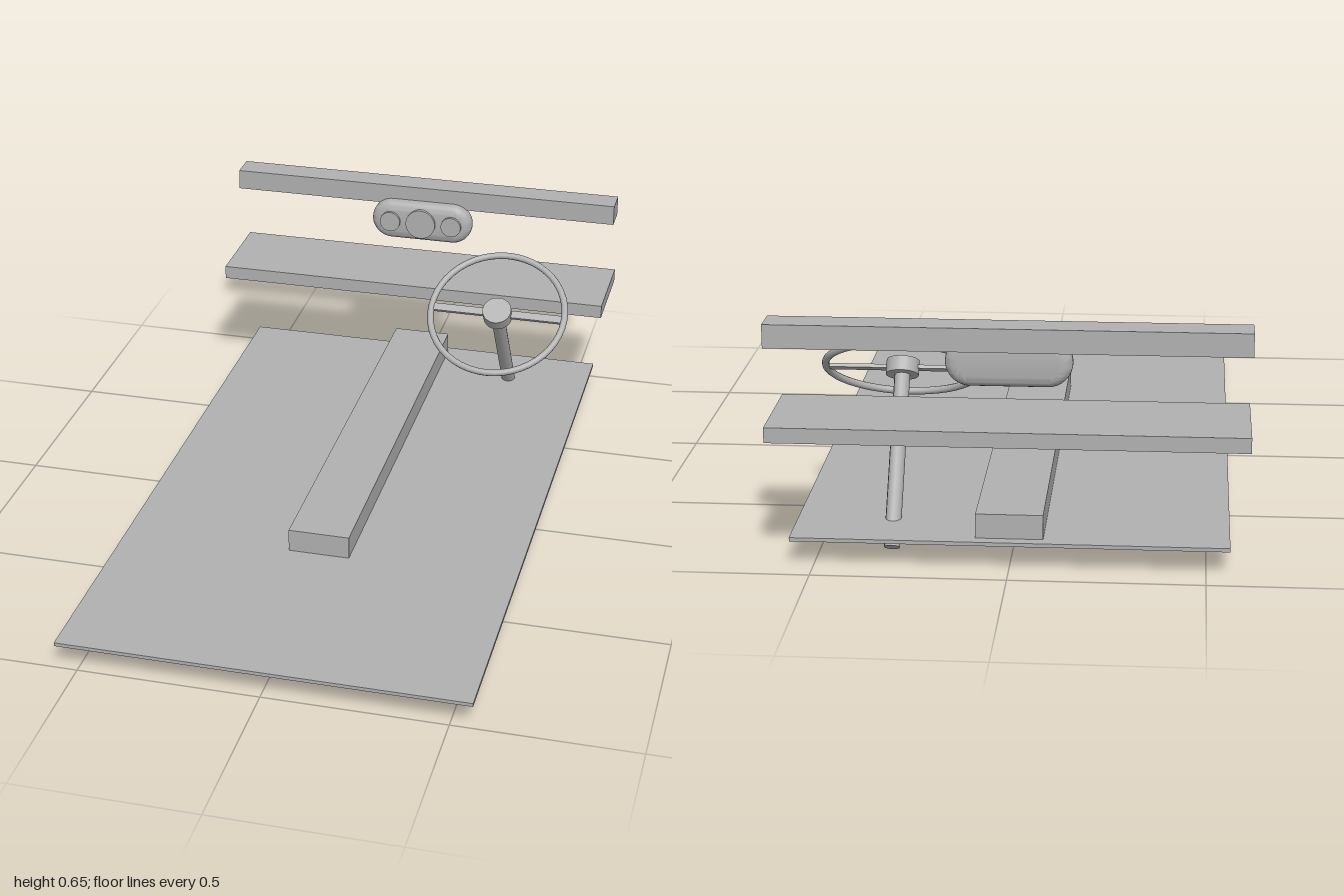
import * as THREE from 'three';
import { toCreasedNormals } from 'three/addons/utils/BufferGeometryUtils.js';

export function createModel() {
  const model = new THREE.Group();
  const grey = new THREE.MeshStandardMaterial({ color: 0xb0b0b0 });
  grey.name = 'plain grey';

  const add = (parent, name, geometry, x = 0, y = 0, z = 0) => {
    const mesh = new THREE.Mesh(geometry, grey);
    mesh.name = name;
    mesh.position.set(x, y, z);
    parent.add(mesh);
    return mesh;
  };
  // Box given by its width and its y and z limits, centred on x = 0
  const slab = (name, width, y0, y1, z0, z1) =>
    add(model, name, new THREE.BoxGeometry(width, y1 - y0, z1 - z0), 0, (y0 + y1) / 2, (z0 + z1) / 2);

  // Cabin slabs
  slab('floor', 1.12, 0.067, 0.077, -0.94, 1.0);
  slab('centreTunnel', 0.173, 0.072, 0.142, -0.91, 0.405);
  slab('dashboardShelf', 1.21, 0.35, 0.39, -1.0, -0.72);
  slab('upperRail', 1.21, 0.589, 0.65, -0.978, -0.895);

  // Instrument pod: stadium outline with rounded front and back
  const pod = new THREE.Group();
  pod.name = 'instrumentPod';
  pod.position.set(0, 0.543, 0);
  model.add(pod);
  const outline = new THREE.Shape();
  outline.absarc(0.097, 0, 0.033, -Math.PI / 2, Math.PI / 2, false);
  outline.absarc(-0.097, 0, 0.033, Math.PI / 2, Math.PI * 1.5, false);
  const podGeometry = new THREE.ExtrudeGeometry(outline, {
    depth: 0.012, bevelThickness: 0.025, bevelSize: 0.03, bevelSegments: 6, curveSegments: 12,
  });
  add(pod, 'podHousing', toCreasedNormals(podGeometry, 0.6), 0, 0, -0.898);

  // Gauges standing slightly proud of the pod
  for (const [name, x, radius] of [['rightGauge', -0.098, 0.032], ['centreGauge', 0, 0.047], ['leftGauge', 0.098, 0.032]]) {
    const gauge = new THREE.CylinderGeometry(radius, radius, 0.03, 32).rotateX(Math.PI / 2);
    add(pod, name, gauge, x, 0, -0.867);
  }

  // Steering assembly: local y runs along the tilted column
  const steering = new THREE.Group();
  steering.name = 'steering';
  steering.position.set(0.312, 0.414, -0.543);
  steering.rotation.x = THREE.MathUtils.degToRad(35);
  model.add(steering);
  add(steering, 'wheelRim', new THREE.TorusGeometry(0.205, 0.01, 10, 48).rotateX(Math.PI / 2));
  add(steering, 'wheelSpoke', new THREE.BoxGeometry(0.4, 0.01, 0.024));
  add(steering, 'wheelHub', new THREE.CylinderGeometry(0.044, 0.044, 0.04, 24));
  add(steering, 'steeringColumn', new THREE.CylinderGeometry(0.021, 0.021, 0.49, 12), 0, -0.245, 0);

  return model;
}
